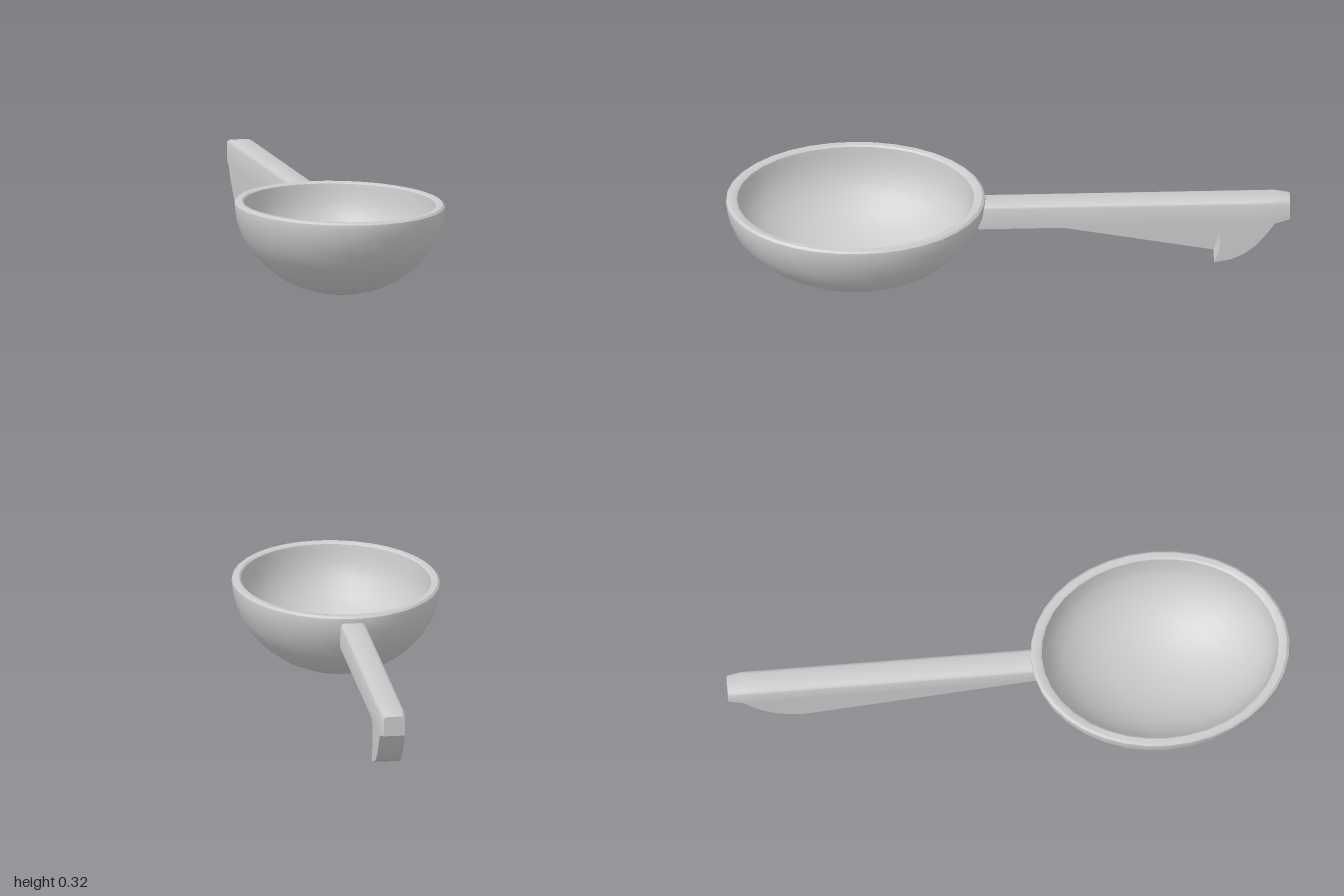
import * as THREE from 'three';
import { toCreasedNormals } from 'three/addons/utils/BufferGeometryUtils.js';

const material = new THREE.MeshStandardMaterial({ color: 0xcccccc });
const HALF = 0.045; // half the handle's width

function addPart(group, name, geometry) {
  const mesh = new THREE.Mesh(toCreasedNormals(geometry, 0.65), material);
  mesh.name = name;
  group.add(mesh);
}

const toShape = (points) => new THREE.Shape(points.map(([a, b]) => new THREE.Vector2(a, b)));

// Side profile given as [z, y], extruded across x from x0 to x1.
function sideSlab(points, x0, x1) {
  const geometry = new THREE.ExtrudeGeometry(toShape(points), { depth: x1 - x0, bevelEnabled: false });
  return geometry.rotateY(-Math.PI / 2).translate(x1, 0, 0);
}

export function createModel() {
  const group = new THREE.Group();

  // Oval bowl: outer wall, rounded rim, then inner wall down to the floor
  const profile = [
    [0, 0], [0.08, 0.008], [0.145, 0.027], [0.208, 0.057], [0.262, 0.097],
    [0.308, 0.147], [0.343, 0.202], [0.362, 0.262], [0.368, 0.308], [0.367, 0.318],
    [0.36, 0.325], [0.342, 0.325], [0.336, 0.32], [0.334, 0.305],
    [0.329, 0.262], [0.312, 0.207], [0.28, 0.157], [0.236, 0.113],
    [0.187, 0.08], [0.13, 0.055], [0.07, 0.04], [0, 0.035],
  ].map(([r, y]) => new THREE.Vector2(r, y));
  const bowl = new THREE.LatheGeometry(profile, 36);
  bowl.scale(1, 1, 1.25).translate(0, 0, 0.538);
  addPart(group, 'bowl', bowl);

  // Handle bar: rectangular section with softened top edges, tapered at the tip
  const section = toShape([
    [-HALF, 0.207], [HALF, 0.207], [HALF, 0.288], [HALF - 0.004, 0.296], [HALF - 0.014, 0.301],
    [-HALF + 0.014, 0.301], [-HALF + 0.004, 0.296], [-HALF, 0.288],
  ]);
  const bar = new THREE.ExtrudeGeometry(section, { depth: 1.105, steps: 20, bevelEnabled: false });
  bar.translate(0, 0, -1);
  const pos = bar.attributes.position;
  for (let i = 0; i < pos.count; i++) {
    if (pos.getZ(i) > -0.99) continue;
    pos.setX(i, pos.getX(i) * 0.85);
    pos.setY(i, THREE.MathUtils.mapLinear(pos.getY(i), 0.207, 0.301, 0.222, 0.293));
  }
  addPart(group, 'handleBar', bar);

  // Hooked tail block beneath the end of the handle
  addPart(group, 'handleTail', sideSlab([
    [-0.735, 0.207], [-0.749, 0.19], [-0.755, 0.155], [-0.749, 0.105], [-0.73, 0.05],
    [-0.79, 0.062], [-0.835, 0.083], [-0.875, 0.115], [-0.91, 0.157], [-0.945, 0.207],
  ], -HALF, HALF));

  // Thin web closing one side of the recess under the bar
  addPart(group, 'handleWeb', sideSlab([
    [0.1, 0.21], [-0.76, 0.21], [-0.76, 0.1], [-0.73, 0.05],
  ], -HALF, -HALF + 0.005));

  return group;
}
